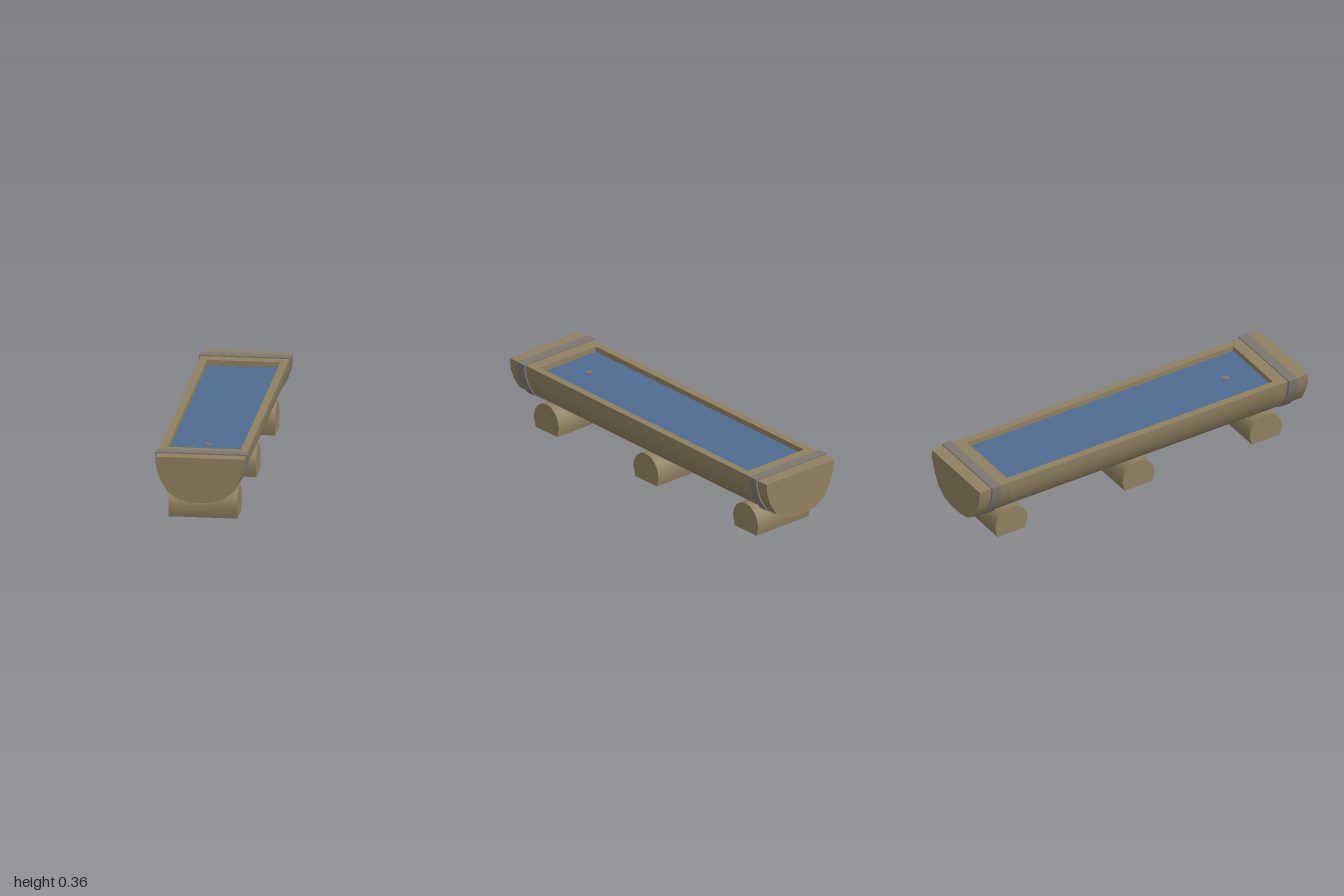
import * as THREE from 'three';
import { toCreasedNormals } from 'three/addons/utils/BufferGeometryUtils.js';

const wood = new THREE.MeshStandardMaterial({ color: 0x8f8060 });
wood.name = 'wood';
const iron = new THREE.MeshStandardMaterial({ color: 0x7d7670 });
iron.name = 'iron';
const blue = new THREE.MeshStandardMaterial({ color: 0x4f6b90 });
blue.name = 'water';

// Right half of a profile, bottom to top, mirrored into a closed outline
const mirrored = (half) => [...half, ...half.slice().reverse().map(([x, y]) => [-x, y])];

// Extrudes an outline along z, centred on z = 0, smooth over shallow corners
function prism(points, length) {
  const shape = new THREE.Shape(points.map(([x, y]) => new THREE.Vector2(x, y)));
  const geo = new THREE.ExtrudeGeometry(shape, { depth: length, bevelEnabled: false });
  geo.translate(0, 0, -length / 2);
  return toCreasedNormals(geo, 0.9);
}

export function createModel() {
  const model = new THREE.Group();
  model.name = 'waterTrough';
  const add = (name, geo, mat, x = 0, y = 0, z = 0) => {
    const mesh = new THREE.Mesh(geo, mat);
    mesh.name = name;
    mesh.position.set(x, y, z);
    model.add(mesh);
    return mesh;
  };

  // Half-log trough: hollow middle and two solid ends
  const logHalf = [[0.037, 0.119], [0.107, 0.131], [0.164, 0.17], [0.206, 0.24], [0.226, 0.3], [0.23, 0.357]];
  const basinHalf = 0.81;
  const hollow = [...logHalf, [0.19, 0.357], [0.19, 0.3]];
  add('hollowLog', prism(mirrored(hollow), basinHalf * 2), wood);
  const endLength = 1 - basinHalf;
  for (const s of [1, -1]) {
    add(s > 0 ? 'frontLogEnd' : 'backLogEnd', prism(mirrored(logHalf), endLength), wood,
      0, 0, s * (basinHalf + endLength / 2));
  }

  // Metal bands wrapped around both ends
  const bandHalf = [[0.039, 0.114], [0.112, 0.127], [0.171, 0.167], [0.215, 0.239], [0.236, 0.3], [0.241, 0.363]];
  for (const s of [1, -1]) {
    add(s > 0 ? 'frontBand' : 'backBand', prism(mirrored(bandHalf), 0.054), iron, 0, 0, s * 0.903);
  }

  // Water surface and the small plug in it
  const water = new THREE.PlaneGeometry(0.38, basinHalf * 2);
  water.rotateX(-Math.PI / 2);
  add('water', water, blue, 0, 0.328, 0);
  add('plug', new THREE.CylinderGeometry(0.02, 0.02, 0.008, 8), iron, 0, 0.329, 0.645);

  // Three cross logs carrying the trough
  const legHalf = [[0.085, 0], [0.098, 0.055], [0.09, 0.095], [0.07, 0.125], [0.035, 0.15]];
  for (const [name, z] of [['frontLeg', 0.775], ['middleLeg', 0], ['backLeg', -0.775]]) {
    const outline = mirrored(legHalf);
    outline.splice(legHalf.length, 0, [0, 0.155]);
    add(name, prism(outline, 0.356), wood, 0, 0, z).rotation.y = Math.PI / 2;
  }
  return model;
}
